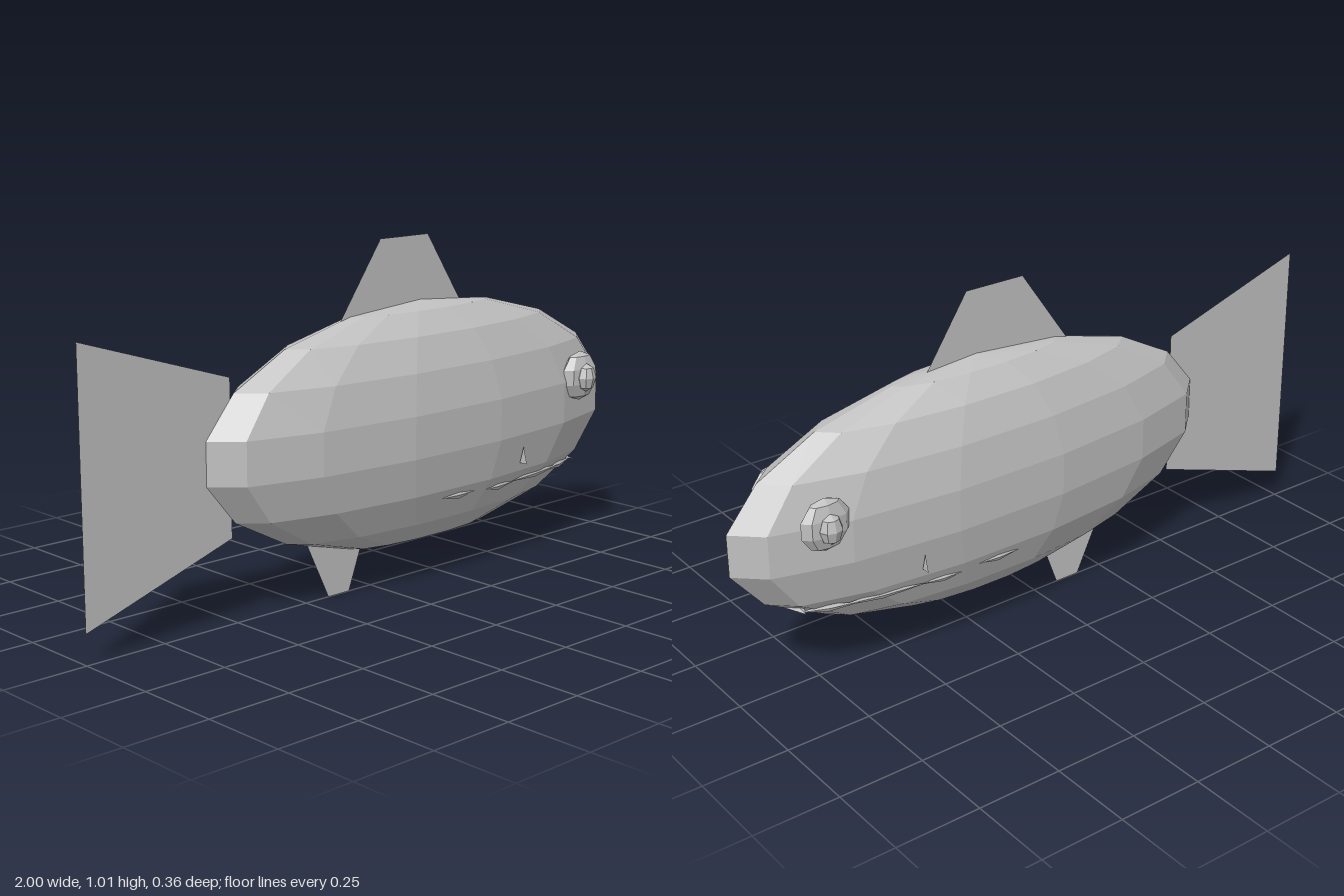
import * as THREE from 'three';

const skin = new THREE.MeshStandardMaterial({ color: 0xc0c0c0, flatShading: true, side: THREE.DoubleSide });
skin.name = 'light grey';

const CENTRE = new THREE.Vector3(0.2, 0.463, 0);
const RADII = new THREE.Vector3(0.812, 0.36, 0.172);

export function createModel() {
  const group = new THREE.Group();

  function add(parent, name, geometry, x = 0, y = 0, z = 0) {
    const mesh = new THREE.Mesh(geometry, skin);
    mesh.name = name;
    mesh.position.set(x, y, z);
    parent.add(mesh);
    return mesh;
  }

  function ellipsoid(rx, ry, rz, around, rows) {
    return new THREE.SphereGeometry(1, around, rows).scale(rx, ry, rz);
  }

  function plate(points) {
    return new THREE.ShapeGeometry(new THREE.Shape(points.map(([x, y]) => new THREE.Vector2(x, y))));
  }

  // half thickness of the body at a given side position
  function bodyZ(x, y) {
    const a = (x - CENTRE.x) / RADII.x, b = (y - CENTRE.y) / RADII.y;
    return RADII.z * Math.sqrt(Math.max(0, 1 - a * a - b * b));
  }

  // faceted body
  add(group, 'body', ellipsoid(RADII.x, RADII.y, RADII.z, 14, 9), CENTRE.x, CENTRE.y, 0);

  // flat fins in the middle plane
  add(group, 'tailFin', plate([[-1, 0.842], [-1, 0.085], [-0.515, 0.243], [-0.515, 0.688]]));
  add(group, 'dorsalFin', plate([[-0.13, 0.77], [0.39, 0.77], [0.23, 1.012], [0.04, 1.012]]));
  add(group, 'bellyFin', plate([[-0.26, 0.2], [-0.165, 0], [-0.085, 0], [-0.01, 0.2]]));

  // front of the mouth
  add(group, 'frontLip', ellipsoid(0.03, 0.012, 0.07, 4, 2), 0.82, 0.256, 0);

  for (const side of [1, -1]) {
    const label = side > 0 ? 'left' : 'right';

    // bulging eye with a raised pupil
    const eye = new THREE.Group();
    eye.name = label + 'Eye';
    eye.position.set(0.777, 0.538, side * 0.124);
    group.add(eye);
    add(eye, 'eyeball', ellipsoid(0.077, 0.077, 0.032, 8, 5));
    add(eye, 'pupil', ellipsoid(0.034, 0.044, 0.028, 8, 4), 0, -0.003, side * 0.028);

    // thin lip slivers almost flush with the lower cheek: x, y, length
    for (const [x, y, length] of [[0.23, 0.257, 0.14], [0.41, 0.25, 0.14], [0.6, 0.254, 0.28], [0.75, 0.252, 0.18]]) {
      const sliver = ellipsoid(length / 2, 0.012, 0.006, 4, 2);
      const lip = add(group, label + 'Lip', sliver, x, y, side * (bodyZ(x, y) - 0.005));
      const slope = (bodyZ(x + 0.05, y) - bodyZ(x - 0.05, y)) / 0.1;
      lip.rotation.y = -side * Math.atan(slope);
    }

    // upright triangular barb standing out from the cheek
    const barb = plate([[-0.14, 0.31], [-0.168, 0.31], [-0.154, 0.362]]);
    add(group, label + 'Barb', barb, 0.49).rotation.y = side * Math.PI / 2;
  }

  return group;
}
